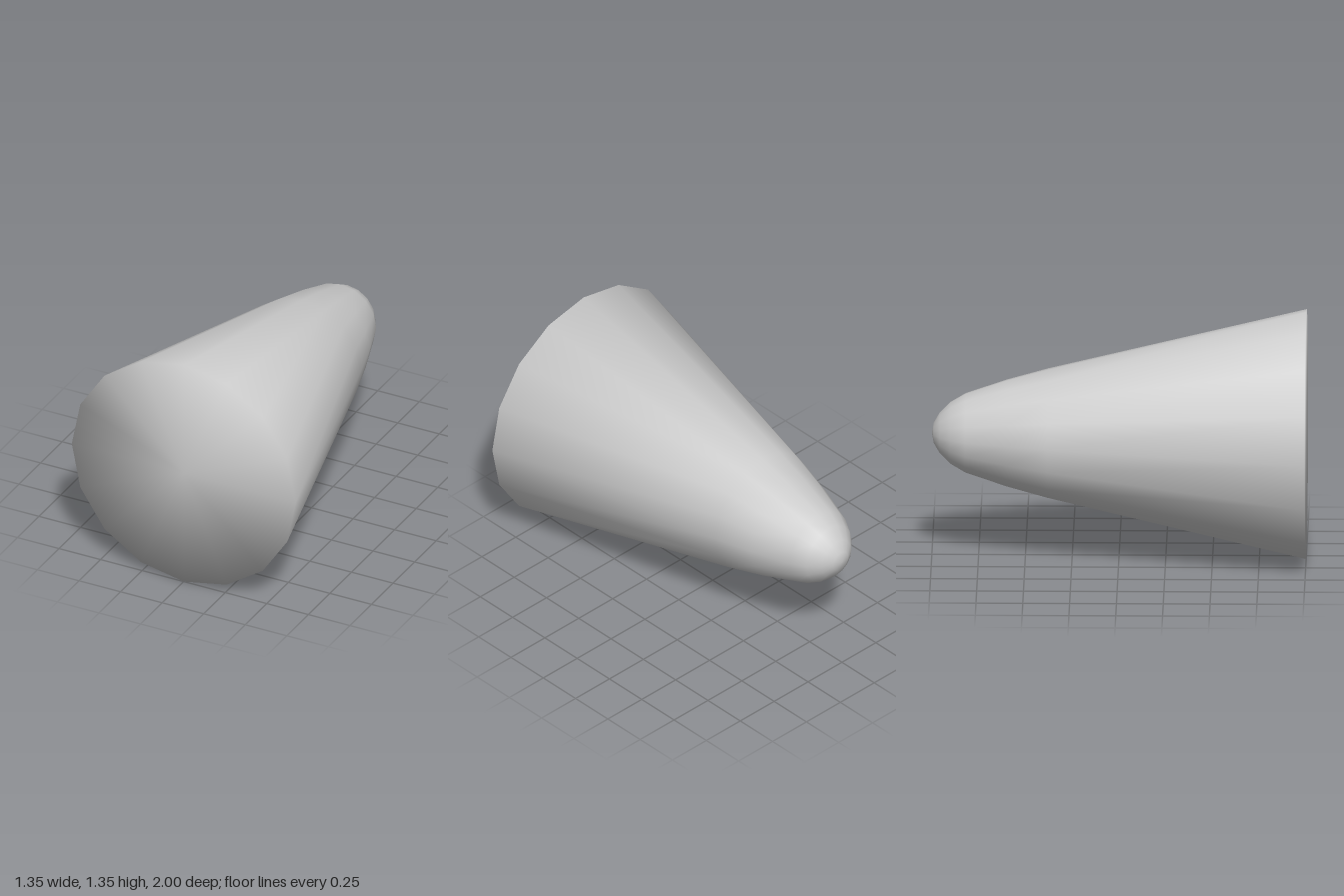
import * as THREE from 'three';
import { mergeVertices } from 'three/addons/utils/BufferGeometryUtils.js';

const RADIUS = 0.673;

export function createModel() {
  const group = new THREE.Group();
  group.name = 'taperedCone';

  // Profile as [radius, position along z]: rounded tip, straight wall, flat base
  const profile = [
    [0, -1], [0.055, -0.99], [0.11, -0.958], [0.167, -0.9], [0.214, -0.82],
    [0.288, -0.6], [0.349, -0.38], [RADIUS, 1], [0, 1],
  ].map(([r, z]) => new THREE.Vector2(r, z));

  // Sixteen-sided body, with normals shared across the rim so the base shades softly
  let geometry = new THREE.LatheGeometry(profile, 16);
  geometry.rotateX(Math.PI / 2);
  geometry.deleteAttribute('uv');
  geometry.deleteAttribute('normal');
  geometry = mergeVertices(geometry, 1e-4);
  geometry.computeVertexNormals();

  const body = new THREE.Mesh(
    geometry,
    new THREE.MeshStandardMaterial({ color: 0xcccccc, side: THREE.DoubleSide })
  );
  body.name = 'coneBody';
  body.position.y = RADIUS;
  group.add(body);
  return group;
}
